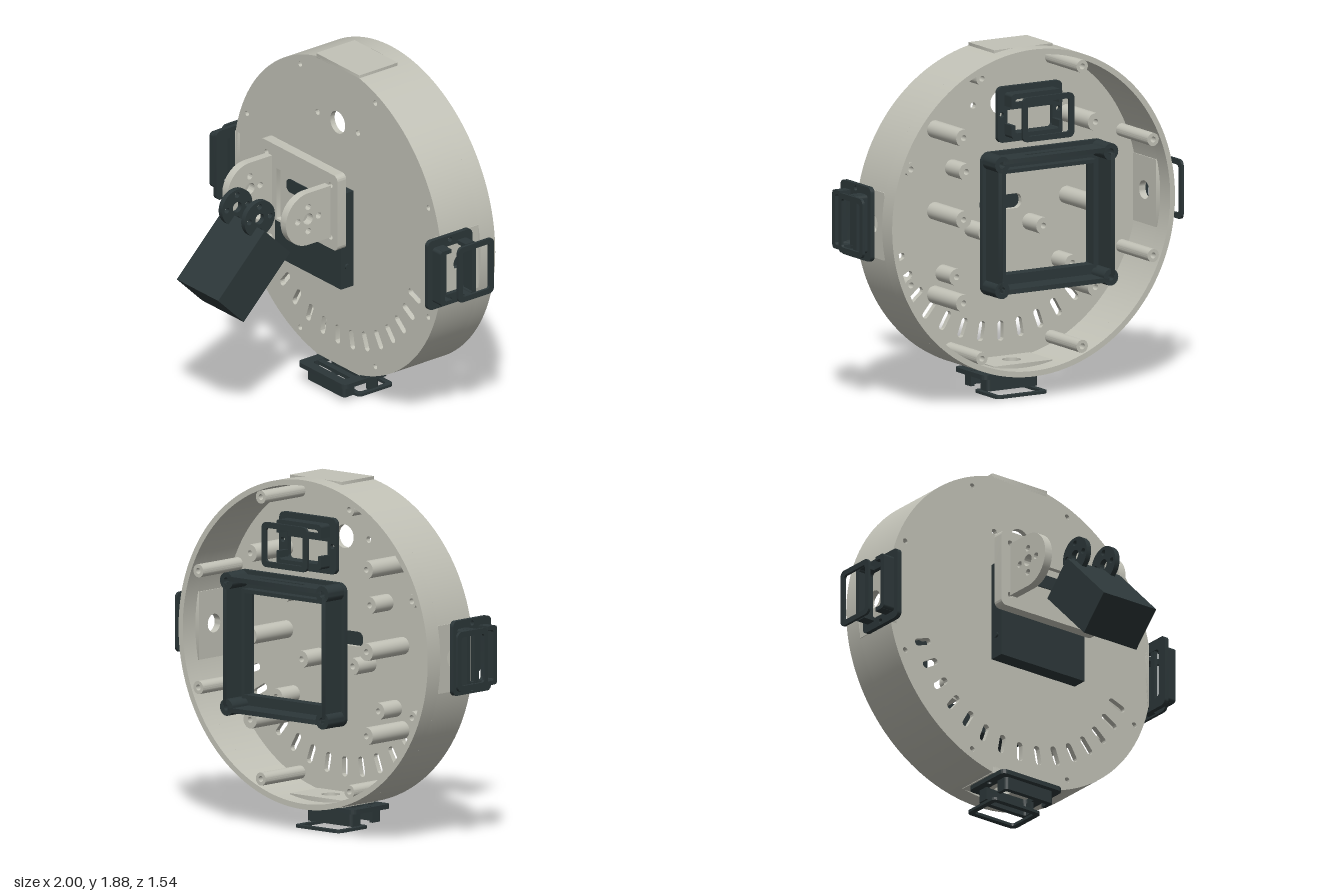
import * as THREE from 'three';
import { toCreasedNormals } from 'three/addons/utils/BufferGeometryUtils.js';

const CY = 1.005; // height of the housing axis

export function createModel() {
  const root = new THREE.Group();
  root.name = 'housingAssembly';
  const light = new THREE.MeshStandardMaterial({ color: 0xc2c2b7 });
  light.name = 'warmGrey';
  const dark = new THREE.MeshStandardMaterial({ color: 0x2c3739 });
  dark.name = 'darkSlate';

  const add = (parent, name, geo, mat, x = 0, y = 0, z = 0) => {
    const m = new THREE.Mesh(geo, mat);
    m.name = name;
    m.position.set(x, y, z);
    parent.add(m);
    return m;
  };
  const box = (w, h, d) => new THREE.BoxGeometry(w, h, d);
  const extrude = (shape, depth, seg = 16) =>
    toCreasedNormals(new THREE.ExtrudeGeometry(shape, { depth, bevelEnabled: false, curveSegments: seg }), 0.5);
  const circle = (x, y, r, T = THREE.Path) => {
    const p = new T();
    p.absarc(x, y, r, 0, Math.PI * 2, false);
    return p;
  };
  const roundRect = (x, y, w, h, r, T = THREE.Path) => {
    const p = new T(), a = w / 2 - r, b = h / 2 - r, q = Math.PI / 2;
    [[a, b], [-a, b], [-a, -b], [a, -b]].forEach(([cx, cy], i) =>
      p.absarc(x + cx, y + cy, r, i * q, (i + 1) * q, false));
    p.closePath();
    return p;
  };
  const withHoles = (shape, ...holes) => { shape.holes.push(...holes); return shape; };

  // Group whose local z points outward and local y along the given direction
  const oriented = (name, out, up, pos) => {
    const g = new THREE.Group(), Z = new THREE.Vector3(...out), Y = new THREE.Vector3(...up);
    g.quaternion.setFromRotationMatrix(
      new THREE.Matrix4().makeBasis(new THREE.Vector3().crossVectors(Y, Z), Y, Z));
    g.position.set(...pos);
    g.name = name;
    root.add(g);
    return g;
  };

  // ---- Round housing, open at the back ----
  const shell = new THREE.Group();
  shell.name = 'housing';
  shell.position.y = CY;
  root.add(shell);
  const half = 0.206, quarter = Math.PI / 2;
  const face = new THREE.Shape();
  for (let i = 0; i < 4; i++) face.absarc(0, 0, 0.88, i * quarter + half, (i + 1) * quarter - half, false);
  face.closePath();
  const rimPoints = [];
  for (let i = 0; i < 8; i++) {
    const a = (i + 0.5) * Math.PI / 4;
    rimPoints.push([0.828 * Math.cos(a), 0.828 * Math.sin(a)]);
  }
  rimPoints.forEach(([x, y]) => face.holes.push(circle(x, y, 0.015)));
  face.holes.push(circle(0, 0.54, 0.063), circle(0.17, 0.54, 0.017), circle(-0.17, 0.54, 0.017));
  face.holes.push(roundRect(0, 0, 0.26, 0.08, 0.035));
  // Fan of vent slots
  for (let i = -7; i <= 7; i++) {
    const a = -quarter + i * Math.PI / 18, slot = new THREE.Path();
    const end = (r, from) => slot.absarc(r * Math.cos(a), r * Math.sin(a), 0.019, from, from + Math.PI, false);
    end(0.725, a - quarter);
    end(0.655, a + quarter);
    slot.closePath();
    face.holes.push(slot);
  }
  add(shell, 'frontPlate', extrude(face, 0.03, 28), light, 0, 0, -0.21);
  add(shell, 'rearRim', extrude(withHoles(circle(0, 0, 0.88, THREE.Shape), circle(0, 0, 0.85)), 0.1, 112), light, 0, 0, -0.54);
  for (let i = 0; i < 4; i++) {
    const arc = new THREE.Shape(), a0 = i * quarter + half, a1 = (i + 1) * quarter - half;
    arc.absarc(0, 0, 0.88, a0, a1, false);
    arc.absarc(0, 0, 0.85, a1, a0, true);
    arc.closePath();
    add(shell, 'wallArc', extrude(arc, 0.24, 28), light, 0, 0, -0.44);
  }

  // Standoffs with screw holes
  const standoff = (name, x, y, r, back) =>
    add(shell, name, extrude(withHoles(circle(0, 0, r, THREE.Shape), circle(0, 0, 0.016)), -0.205 - back, 12), light, x, y, back);
  rimPoints.forEach(([x, y]) => standoff('rimStandoff', x * 0.985, y * 0.985, 0.035, -0.525));
  for (const s of [-1, 1]) {
    for (const y of [0.44, 0, -0.45]) standoff('longStandoff', s * 0.41, y, 0.047, -0.5);
    standoff('shortStandoff', s * 0.3, 0.22, 0.045, -0.35);
    standoff('shortStandoff', s * 0.36, -0.34, 0.045, -0.35);
    standoff('shortStandoff', s * 0.18, -0.12, 0.045, -0.35);
  }

  // ---- Port flats and port frames ----
  const port = (name, out, up, pos, shift, ringAt) => {
    const g = oriented(name, out, up, pos);
    const flange = withHoles(roundRect(0, 0, 0.4, 0.3, 0.03, THREE.Shape),
      roundRect(0, 0, 0.28, 0.19, 0.02), circle(0.175, 0, 0.014), circle(-0.175, 0, 0.014));
    add(g, 'flange', extrude(flange, 0.025, 6), dark);
    add(g, 'crossBar', box(0.29, 0.035, 0.02), dark, 0, 0.04, 0.0125);
    // Collar: two C-shaped halves
    for (const s of [-1, 1]) {
      add(g, 'collarRail', box(0.28, 0.028, 0.07), dark, 0, s * 0.106, 0.06);
      for (const e of [-1, 1]) {
        add(g, 'collarEnd', box(0.022, 0.056, 0.07), dark, e * 0.147, s * 0.076, 0.06);
        const corner = new THREE.CylinderGeometry(0.018, 0.018, 0.07, 12).rotateX(quarter);
        add(g, 'collarCorner', corner, dark, e * 0.14, s * 0.102, 0.06);
      }
    }
    const ring = withHoles(roundRect(0, 0, 0.32, 0.24, 0.03, THREE.Shape), roundRect(0, 0, 0.26, 0.18, 0.015));
    add(g, 'retainerRing', extrude(ring, 0.015, 6), dark, 0, shift, ringAt);
  };
  const flats = [['left', 1, 0], ['right', -1, 0], ['bottom', 0, -1], ['top', 0, 1]];
  for (const [side, x, y] of flats) {
    const top = side === 'top', r = top ? 0.845 : 0.825;
    const g = oriented(side + 'Flat', [x, y, 0], [0, 0, 1], [x * r, CY + y * r, -0.31]);
    const plate = roundRect(0, 0, 0.364, 0.26, 0.002, THREE.Shape);
    if (!top) withHoles(plate, circle(0, -0.01, 0.05));
    add(g, 'wallPlate', extrude(plate, top ? 0.033 : 0.04), light);
    if (!top) port(side + 'Port', [x, y, 0], [0, 0, 1], [x * 0.88, CY + y * 0.885, -0.215], -0.1, 0.105);
  }
  port('rearPort', [0, 0, -1], [0, 1, 0], [0, 1.545, -0.48], 0, 0.195);

  // ---- Square frame behind the housing ----
  const frame = new THREE.Group();
  frame.name = 'rearFrame';
  frame.position.set(0, 1, -0.77);
  root.add(frame);
  const floor = withHoles(roundRect(0, 0, 0.77, 0.77, 0.05, THREE.Shape), roundRect(0, 0, 0.55, 0.55, 0.005));
  add(frame, 'frameFloor', extrude(floor, 0.025, 8), dark, 0, 0, 0.125);
  for (let i = 0; i < 4; i++) {
    const side = new THREE.Group();
    side.name = 'frameSide';
    side.rotation.z = i * quarter;
    frame.add(side);
    const wall = roundRect(0, 0, 0.66, 0.13, 0.002, THREE.Shape);
    if (i === 0) withHoles(wall, roundRect(0, 0, 0.31, 0.016, 0.004));
    add(side, 'frameWall', extrude(wall, 0.025).rotateX(quarter), dark, 0, 0.363, 0.065);
    add(side, 'innerLip', box(0.58, 0.02, 0.06), dark, 0, 0.282, 0.1);
    const post = withHoles(circle(0, 0, 0.045, THREE.Shape), circle(0, 0, 0.018));
    add(side, 'cornerPost', extrude(post, 0.15), dark, 0.338, 0.338, 0);
  }

  // ---- Base box and bracket ----
  add(root, 'baseBox', box(0.555, 0.55, 0.085), dark, 0, 1.005, -0.0225);
  for (const s of [-1, 1])
    add(root, 'baseScrew', new THREE.CylinderGeometry(0.015, 0.015, 0.02, 12).rotateZ(quarter), dark, s * 0.278, 0.855, -0.02);
  const plate = roundRect(0, 0, 0.655, 0.435, 0.03, THREE.Shape);
  for (const x of [-0.27, 0.27]) for (const y of [-0.15, 0.15]) plate.holes.push(circle(x, y, 0.016));
  plate.holes.push(roundRect(0, -0.06, 0.37, 0.29, 0.003));
  add(root, 'bracketPlate', extrude(plate, 0.06, 8), light, 0, 1.203, 0.025);
  add(root, 'bracketRecess', box(0.38, 0.3, 0.03), light, 0, 1.143, 0.042);
  add(root, 'cableSlot', extrude(roundRect(0, 0, 0.26, 0.075, 0.03, THREE.Shape), 0.006), dark, 0, 1.21, 0.057);

  const ear = new THREE.Shape();
  ear.moveTo(0.08, 1.05);
  ear.lineTo(0.235, 1.05);
  ear.absarc(0.235, 1.2, 0.15, -quarter, quarter, false);
  ear.lineTo(0.08, 1.35);
  ear.closePath();
  const boltHoles = (shape, z, y, centre, small, d) => {
    shape.holes.push(circle(z, y, centre));
    for (let i = 0; i < 4; i++)
      shape.holes.push(circle(z + d * Math.cos(i * quarter), y + d * Math.sin(i * quarter), small));
    return shape;
  };
  boltHoles(ear, 0.235, 1.2, 0.032, 0.018, 0.07);
  const lug = boltHoles(circle(0.435, 1.2, 0.102, THREE.Shape), 0.435, 1.2, 0.03, 0.016, 0.07);
  for (const s of [-1, 1]) {
    add(root, 'bracketEar', extrude(ear, 0.046, 24), light, s * 0.246 + 0.023).rotation.y = -quarter;
    add(root, 'headLug', extrude(lug, 0.03, 32), dark, s * 0.095 + 0.015).rotation.y = -quarter;
  }

  // ---- Tilting head ----
  add(root, 'tiltHead', box(0.35, 0.445, 0.243), dark, 0, 0.915, 0.525).rotation.x = -Math.PI / 4;

  return root;
}
